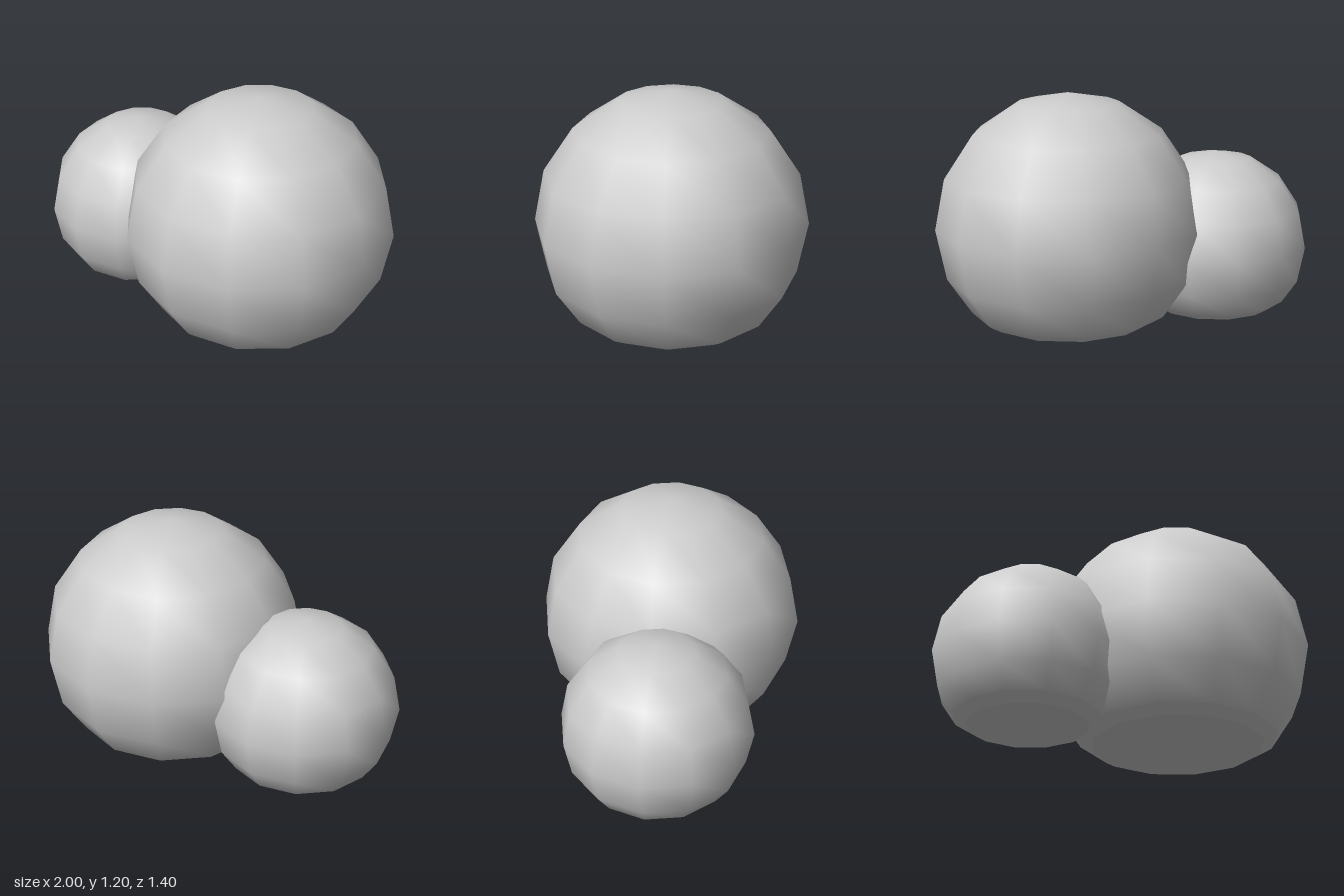
import * as THREE from 'three';

const SIDES = 12;
const CUT = 0.04; // height where the round body meets the bevelled foot

// A low-poly boulder: sphere cut near the ground, with a bevelled flat foot.
function boulder(name, radius, x, y, z, cutRadius, footRadius, material) {
  const group = new THREE.Group();
  group.name = name;
  group.position.set(x, 0, z);

  // Six of eight latitude bands; the last ring is moved up onto the cut.
  const bands = 6;
  const geometry = new THREE.SphereGeometry(radius, SIDES, bands, 0, Math.PI * 2, 0, Math.PI * bands / 8);
  geometry.translate(0, y, 0);
  const p = geometry.attributes.position;
  for (let i = bands * (SIDES + 1); i < p.count; i++) {
    const s = cutRadius / Math.hypot(p.getX(i), p.getZ(i));
    p.setXYZ(i, p.getX(i) * s, CUT, p.getZ(i) * s);
  }
  const body = new THREE.Mesh(geometry, material);
  body.name = name + 'Body';

  // Bevel and flat underside
  const foot = new THREE.Mesh(new THREE.CylinderGeometry(cutRadius, footRadius, CUT, SIDES), material);
  foot.name = name + 'Foot';
  foot.position.y = CUT / 2;

  group.add(body, foot);
  return group;
}

export function createModel() {
  const model = new THREE.Group();
  model.name = 'boulders';
  const material = new THREE.MeshStandardMaterial({ color: 0xcccccc });
  model.add(
    boulder('largeBoulder', 0.698, 0.302, 0.497, 0, 0.518, 0.45, material),
    boulder('smallBoulder', 0.497, -0.503, 0.35, 0.065, 0.379, 0.313, material),
  );
  return model;
}
